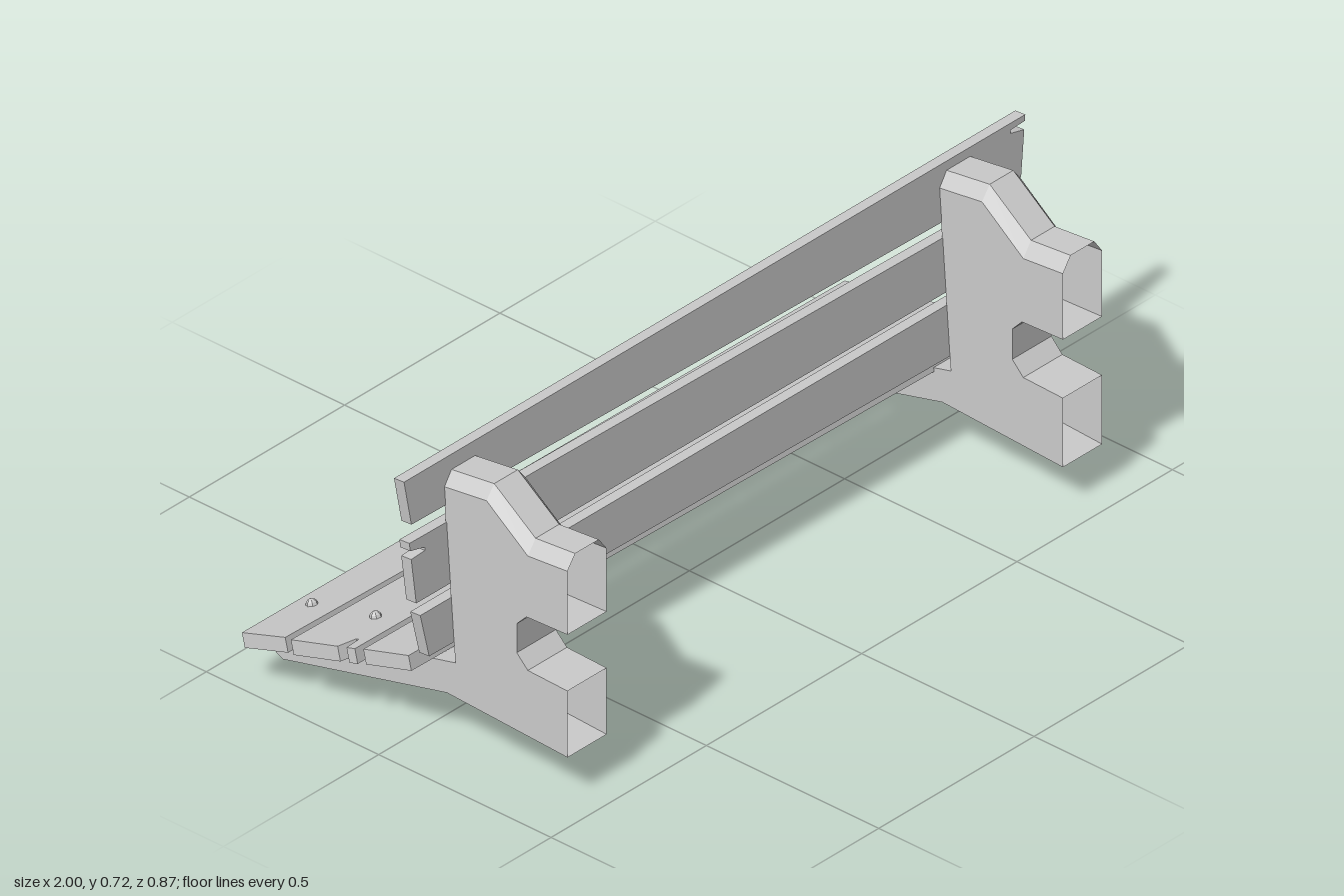
import * as THREE from 'three';
import { mergeVertices } from 'three/addons/utils/BufferGeometryUtils.js';

const mat = new THREE.MeshStandardMaterial({ color: 0xcccccc, flatShading: true, side: THREE.DoubleSide });

// Support outline: [z, y, chamfer dz, chamfer dy, chamfer dx]
const OUTLINE = [
  [0.435, 0.64, 0, -0.035, 0.025], [0.32, 0.63, 0, -0.035, 0.025],
  [0.2, 0.722, 0, -0.033, 0.025], [0.075, 0.705, 0, -0.033, 0.025],
  [0.11, 0.22, 0, 0, 0], [-0.405, 0.091, 0, 0, 0],
  [-0.425, 0.085, 0.012, 0, 0.018], [-0.435, 0.062, 0.014, 0, 0.018],
  [-0.422, 0.012, 0.012, 0.008, 0.018], [-0.395, 0.002, 0.004, 0.008, 0.015],
  [0.085, 0.13, 0, 0, 0], [0.435, 0.112, 0, 0, 0],
  [0.435, 0.288, 0, 0, 0], [0.32, 0.292, 0, 0, 0],
  [0.288, 0.325, 0, 0, 0], [0.288, 0.402, 0, 0, 0],
  [0.316, 0.432, 0, 0, 0], [0.435, 0.437, 0, 0, 0],
];
const OPEN_EDGES = [11, 17]; // foot ends are left open

function supportGeometry(w = 0.063) {
  const n = OUTLINE.length, pos = [], idx = [];
  // four rings across the width: side, chamfer, chamfer, side
  for (const [s, inner] of [[-1, 0], [-1, 1], [1, 1], [1, 0]]) {
    for (const [z, y, dz, dy, dx] of OUTLINE) {
      if (inner) pos.push(s * (w - dx), y, z);
      else pos.push(s * w, y + dy, z + dz);
    }
  }
  for (let r = 0; r < 3; r++) {
    for (let i = 0; i < n; i++) {
      if (OPEN_EDGES.includes(i)) continue;
      const j = (i + 1) % n;
      const a = r * n + i, b = r * n + j, c = b + n, d = a + n;
      const plain = !OUTLINE[i][4] && !OUTLINE[j][4];
      if (r !== 1 && plain) continue;
      idx.push(a, d, c, a, c, b);
    }
  }
  const side = OUTLINE.map(([z, y, dz, dy]) => new THREE.Vector2(z + dz, y + dy));
  for (const [a, b, c] of THREE.ShapeUtils.triangulateShape(side, [])) {
    idx.push(a, b, c, 3 * n + a, 3 * n + c, 3 * n + b);
  }
  const g = new THREE.BufferGeometry();
  g.setAttribute('position', new THREE.Float32BufferAttribute(pos, 3));
  g.setIndex(idx);
  const merged = mergeVertices(g);
  merged.computeVertexNormals();
  return merged;
}

// Board from four corners (bottom left, bottom right, top right, top left)
// with an optional split: { end: 1 | -1, t: position along that end }
function board(name, corners, depth, z0, split) {
  const [bl, br, tr, tl] = corners.map(([x, y]) => new THREE.Vector2(x, y));
  const notch = (from, to, end) => {
    if (!split || split.end !== end) return [];
    const t = end > 0 ? split.t : 1 - split.t;
    const a = from.clone().lerp(to, t - 0.07), b = from.clone().lerp(to, t + 0.07);
    const tip = from.clone().lerp(to, t);
    tip.x -= end * 0.045;
    const tip2 = tip.clone();
    tip2.y += end * 0.008;
    return [a, tip, tip2, b];
  };
  const pts = [bl, br, ...notch(br, tr, 1), tr, tl, ...notch(tl, bl, -1)];
  const g = new THREE.ExtrudeGeometry(new THREE.Shape(pts), { depth, bevelEnabled: false });
  g.translate(0, 0, z0);
  const m = new THREE.Mesh(g, mat);
  m.name = name;
  return m;
}

// Domed bolt heads, one over each support
function addBolts(group, y, z, dir) {
  for (const x of [-0.82, 0.78]) {
    const g = new THREE.SphereGeometry(0.014, 7, 3, 0, Math.PI * 2, 0, Math.PI / 2);
    g.rotateX(dir * Math.PI / 2);
    const m = new THREE.Mesh(g, mat);
    m.name = 'bolt';
    m.position.set(x, y, z);
    group.add(m);
  }
}

export function createModel() {
  const model = new THREE.Group();
  model.name = 'bench';

  // Two end supports, one slightly shorter
  const geo = supportGeometry();
  for (const [name, x, y, sy] of [['leftSupport', 0.783, 0, 1], ['rightSupport', -0.812, 0.012, 0.962]]) {
    const m = new THREE.Mesh(geo, mat);
    m.name = name;
    m.position.set(x, y, 0);
    m.scale.y = sy;
    model.add(m);
  }

  // Backrest boards, corners in x and height
  const back = new THREE.Group();
  back.name = 'backrest';
  back.position.set(0, 0.705, 0.075);
  back.rotation.x = -0.072;
  const backBoards = [
    { c: [[-0.985, 0.615], [0.975, 0.583], [1, 0.727], [-1, 0.727]], split: { end: 1, t: 0.83 }, bolt: 0.66 },
    { c: [[-0.985, 0.42], [0.965, 0.413], [0.98, 0.545], [-0.995, 0.573]], split: { end: -1, t: 0.8 }, bolt: 0.455 },
    { c: [[-0.955, 0.275], [0.94, 0.253], [0.96, 0.382], [-0.975, 0.385]], bolt: 0.32 },
  ];
  for (const { c, split, bolt } of backBoards) {
    back.add(board('backBoard', c.map(([x, y]) => [x, y - 0.705]), 0.029, -0.029, split));
    addBolts(back, bolt - 0.705, -0.029, -1);
  }
  model.add(back);

  // Seat boards, corners in x and z, sloping along the arms
  const seat = new THREE.Group();
  seat.name = 'seat';
  seat.position.set(0, 0.207, 0.06);
  seat.rotation.set(-1.816, 0.012, 0);
  const along = (z) => (0.055 - z) / 0.97;
  const seatBoards = [
    { c: [[-0.955, 0.052], [0.935, 0.055], [0.945, -0.088], [-0.965, -0.07]], split: { end: 1, t: 0.2 }, bolt: -0.015 },
    { c: [[-0.97, -0.09], [0.945, -0.105], [0.955, -0.256], [-0.985, -0.262]], split: { end: -1, t: 0.2 }, bolt: -0.165 },
    { c: [[-0.98, -0.283], [0.945, -0.262], [0.965, -0.418], [-0.995, -0.395]], split: { end: 1, t: 0.83 }, bolt: -0.35 },
  ];
  for (const { c, split, bolt } of seatBoards) {
    seat.add(board('seatBoard', c.map(([x, z]) => [x, along(z)]), 0.036, 0, split));
    addBolts(seat, along(bolt), 0.036, 1);
  }
  model.add(seat);

  return model;
}
